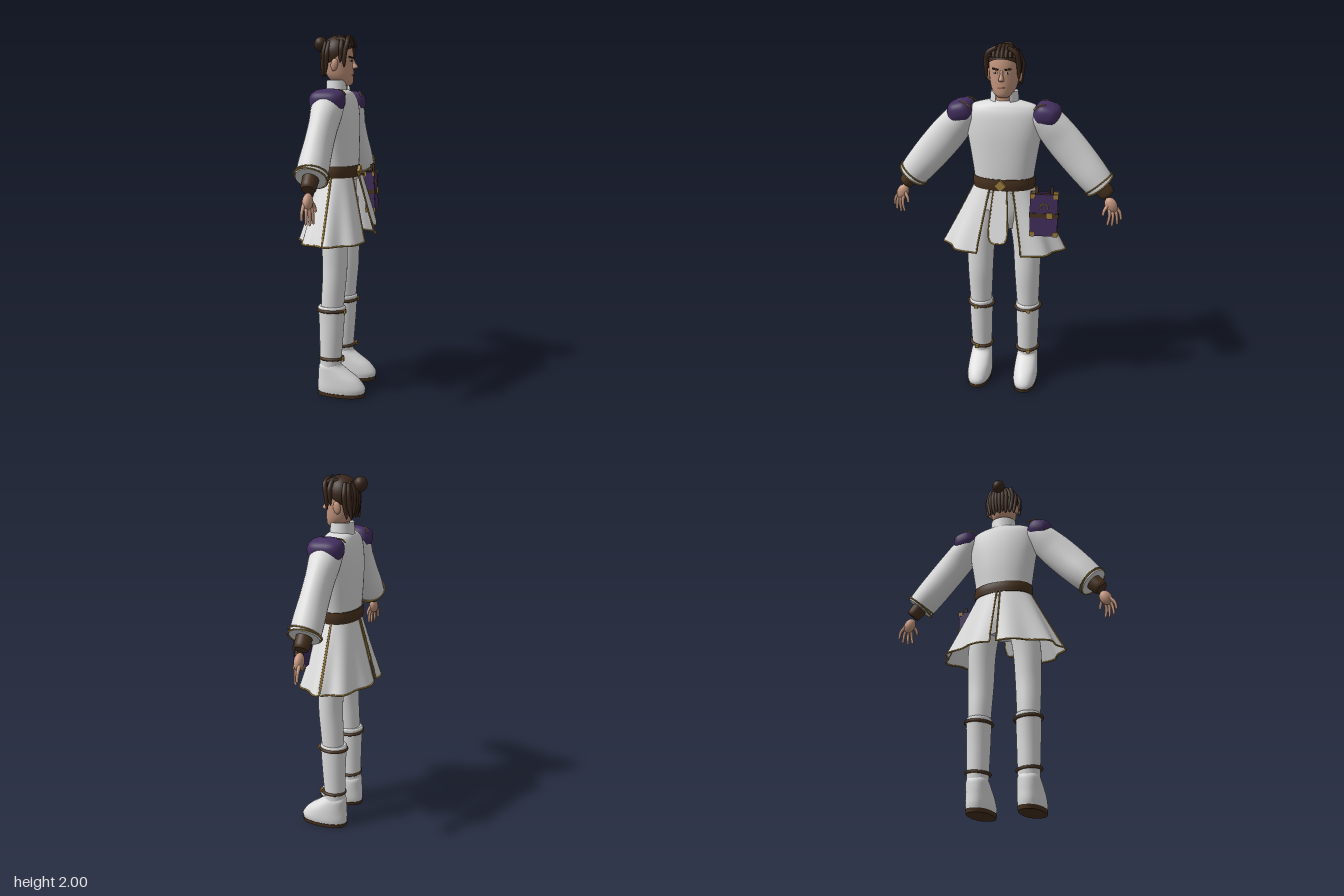
import * as THREE from 'three';

const mat = (name, color) => {
  const m = new THREE.MeshStandardMaterial({ color, side: THREE.DoubleSide });
  m.name = name;
  return m;
};
const cloth = mat('white cloth', 0xdcdcdc), skin = mat('skin', 0xc4967e), hair = mat('hair', 0x3a271b);
const leather = mat('leather', 0x48321f), gold = mat('gold', 0xa17f3c), purple = mat('purple', 0x432f60);
const lip = mat('lip', 0x9a6655), eyeWhite = mat('eye white', 0xe4ddd4), dark = mat('dark', 0x1d1512);
const V = (x, y, z) => new THREE.Vector3(x, y, z);
const lerp = THREE.MathUtils.lerp;

function add(parent, name, geo, material, pos, rot) {
  const m = new THREE.Mesh(geo, material);
  m.name = name;
  if (pos) m.position.set(...pos);
  if (rot) m.rotation.set(...rot);
  parent.add(m);
  return m;
}

// Smooth body of superellipse sections [y, cx, cz, rx, rz], bottom to top
function loft(sections, exp = 2, seg = 28, steps = 5) {
  const place = new THREE.CatmullRomCurve3(sections.map(s => V(s[0], s[1], s[2])), false, 'catmullrom', 0.5);
  const size = new THREE.CatmullRomCurve3(sections.map(s => V(s[3], s[4], 0)), false, 'catmullrom', 0.5);
  const n = (sections.length - 1) * steps, rings = [];
  for (let i = 0; i <= n; i++) rings.push([place.getPoint(i / n), size.getPoint(i / n)]);
  const shut = V(0, 0, 0);
  rings.unshift([rings[0][0], shut], rings[0]);
  rings.push(rings[rings.length - 1], [rings[rings.length - 1][0], shut]);
  const pos = [], idx = [];
  const pw = v => Math.sign(v) * Math.abs(v) ** (2 / exp);
  rings.forEach(([p, r], j) => {
    for (let i = 0; i < seg; i++) {
      const a = i / seg * Math.PI * 2;
      pos.push(p.y + r.x * pw(Math.cos(a)), p.x, p.z + r.y * pw(Math.sin(a)));
      if (j === rings.length - 1) continue;
      const k = (i + 1) % seg, b = j * seg, c = b + seg;
      idx.push(b + i, c + i, b + k, b + k, c + i, c + k);
    }
  });
  const g = new THREE.BufferGeometry();
  g.setAttribute('position', new THREE.Float32BufferAttribute(pos, 3));
  g.setIndex(idx);
  g.computeVertexNormals();
  return g;
}

// Tube through points whose radius follows a rule along its length
function strand(points, r, rule = () => 1, steps = 14, radial = 8) {
  const curve = new THREE.CatmullRomCurve3(points.map(p => V(...p)));
  const g = new THREE.TubeGeometry(curve, steps, r, radial);
  const p = g.attributes.position, v = V(0, 0, 0);
  for (let i = 0; i < p.count; i++) {
    const t = Math.floor(i / (radial + 1)) / steps, c = curve.getPointAt(t);
    v.fromBufferAttribute(p, i).sub(c).multiplyScalar(rule(t)).add(c);
    p.setXYZ(i, v.x, v.y, v.z);
  }
  return g;
}
const lockRule = t => 0.12 + 0.88 * Math.sqrt(Math.sin(Math.PI * (0.2 + 0.8 * t)));
const fingerRule = t => (t > 0.97 ? 0.05 : 1 - 0.35 * t);
const ball = (x, y, z) => new THREE.SphereGeometry(1, 24, 16).scale(x, y, z);
const box = (x, y, z) => new THREE.BoxGeometry(x, y, z);

// Point on the flared, pleated skirt
function skirtPoint(t, v) {
  const f = 1 + 0.045 * v * Math.sin(t * 9 + 0.6);
  return V(lerp(0.16, 0.338, v) * Math.cos(t) * f, 1.245 - 0.367 * v, lerp(0.1, 0.204, v) * Math.sin(t) * f);
}
function skirtPanel(parent, name, t0, t1) {
  const g = new THREE.PlaneGeometry(1, 1, 30, 10), p = g.attributes.position;
  for (let i = 0; i < p.count; i++) {
    const q = skirtPoint(lerp(t1, t0, p.getX(i) + 0.5), 0.5 - p.getY(i));
    p.setXYZ(i, q.x, q.y, q.z);
  }
  g.computeVertexNormals();
  add(parent, name, g, cloth);
  const path = [];
  for (let i = 0; i <= 8; i++) path.push(skirtPoint(t0, i / 8).toArray());
  for (let i = 1; i < 24; i++) path.push(skirtPoint(lerp(t0, t1, i / 24), 1).toArray());
  for (let i = 8; i >= 0; i--) path.push(skirtPoint(t1, i / 8).toArray());
  add(parent, name + 'Trim', strand(path, 0.005, undefined, 90, 6), gold);
}

function buildSide(mirror) {
  const s = new THREE.Group();
  s.name = mirror < 0 ? 'rightSide' : 'leftSide';
  s.scale.x = mirror;
  // Leg and boot
  add(s, 'leg', loft([[0.46, 0.14, -0.002, 0.06, 0.062], [0.58, 0.139, 0.005, 0.067, 0.065], [0.72, 0.137, 0.014, 0.073, 0.068],
    [0.9, 0.132, 0.01, 0.08, 0.073], [1.1, 0.1, 0, 0.085, 0.085]]), cloth);
  add(s, 'bootShaft', loft([[0.14, 0.14, -0.012, 0.056, 0.058], [0.22, 0.14, -0.01, 0.06, 0.062], [0.36, 0.14, -0.005, 0.065, 0.068],
    [0.47, 0.14, -0.004, 0.068, 0.074], [0.505, 0.14, -0.004, 0.07, 0.077], [0.515, 0.14, -0.004, 0.064, 0.07]]), cloth);
  add(s, 'foot', loft([[0.018, 0.14, 0.052, 0.066, 0.134], [0.05, 0.14, 0.052, 0.07, 0.136], [0.095, 0.14, 0.036, 0.068, 0.117],
    [0.135, 0.14, 0.009, 0.064, 0.088], [0.165, 0.14, -0.01, 0.06, 0.066], [0.185, 0.14, -0.011, 0.052, 0.056]], 2.3), cloth);
  add(s, 'sole', loft([[0, 0.14, 0.052, 0.066, 0.134], [0.022, 0.14, 0.052, 0.069, 0.138]], 2.3), leather);
  for (const [y, r] of [[0.487, 0.074], [0.212, 0.064]]) {
    const ring = new THREE.TorusGeometry(r, 0.009, 8, 32).rotateX(Math.PI / 2);
    add(s, 'bootStrap', ring, leather, [0.14, y, -0.005], [0, 0, 0.08]);
    add(s, 'bootBuckle', box(0.022, 0.02, 0.012), gold, [0.155, y, r + 0.002]);
  }
  // Sleeve, hung from the shoulder
  const arm = new THREE.Group();
  arm.name = 'arm';
  arm.position.set(0.2, 1.64, 0);
  arm.rotation.z = 0.709;
  s.add(arm);
  add(arm, 'sleeve', loft([[-0.507, 0, 0, 0.083, 0.079], [-0.42, 0, 0, 0.092, 0.079], [-0.3, 0, 0, 0.098, 0.073], [-0.18, 0, 0, 0.098, 0.074],
    [-0.08, 0, 0, 0.09, 0.084], [0, 0, 0, 0.075, 0.08], [0.045, 0, 0, 0.03, 0.04]]), cloth);
  for (const [y, r, tilt] of [[-0.502, 0.086, 0.06], [-0.488, 0.088, -0.08]])
    add(arm, 'cuffTrim', new THREE.TorusGeometry(r, 0.004, 6, 36).rotateX(Math.PI / 2), gold, [0, y, 0], [tilt, 0, 0]);
  add(arm, 'wristband', loft([[-0.575, 0, 0, 0.036, 0.034], [-0.555, 0, 0, 0.044, 0.04], [-0.5, 0, 0, 0.046, 0.042]]), leather);
  // Hand
  add(s, 'palm', ball(0.034, 0.046, 0.026), skin, [0.592, 1.148, 0.003], [0, 0, 0.45]);
  [[0.578, 1.036, 0.028], [0.603, 1.03, 0.018], [0.632, 1.038, 0.006], [0.65, 1.06, -0.01]].forEach(([x, y, z], i) =>
    add(s, 'finger', strand([[0.583 + i * 0.011, 1.138, 0.012 - i * 0.007], [0.588 + i * 0.018, 1.092 + i * 0.004, z], [x, y, z]], 0.0105, fingerRule), skin));
  add(s, 'thumb', strand([[0.575, 1.15, 0.015], [0.557, 1.12, 0.028], [0.552, 1.093, 0.032]], 0.011, fingerRule), skin);
  // Shoulder pad
  add(s, 'shoulderPad', loft([[-0.055, 0, 0, 0.066, 0.08], [-0.02, 0, 0, 0.074, 0.094], [0.02, 0, 0, 0.07, 0.092], [0.045, 0, 0, 0.052, 0.07],
    [0.058, 0, 0, 0.015, 0.02]], 2.8), purple, [0.235, 1.645, 0], [0, 0, -0.25]);
  for (const z of [-1, 1])
    add(s, 'padPiping', strand([[0.17, 1.672, z * 0.083], [0.195, 1.691, z * 0.074], [0.23, 1.698, z * 0.06]], 0.004), gold);
  // Skirt quarters
  skirtPanel(s, 'frontSkirt', 0.01, 1.17);
  skirtPanel(s, 'backSkirt', -1.51, -0.01);
  // Collar half, open at the throat
  const collar = new THREE.CylinderGeometry(0.073, 0.08, 0.075, 20, 1, true, 0.52, Math.PI - 0.52).scale(1, 1, 0.85);
  add(s, 'collar', collar, cloth, [0, 1.717, -0.005]);
  // Eye, brow and ear
  add(s, 'eyeWhite', box(0.022, 0.008, 0.006), eyeWhite, [0.032, 1.857, 0.076], [0, 0.38, 0]);
  add(s, 'iris', box(0.008, 0.008, 0.006), dark, [0.031, 1.857, 0.078], [0, 0.38, 0]);
  add(s, 'brow', box(0.034, 0.008, 0.008), hair, [0.034, 1.876, 0.076], [0, 0.4, 0.12]);
  add(s, 'ear', ball(0.012, 0.034, 0.02), skin, [0.083, 1.835, -0.004], [0.15, 0, 0]);
  // Side locks
  [[[0.03, 1.985, 0.06], [0.075, 1.955, 0.066], [0.086, 1.9, 0.056], [0.085, 1.82, 0.05]],
    [[0.05, 1.98, 0.03], [0.088, 1.93, 0.035], [0.09, 1.88, 0.032], [0.088, 1.845, 0.03]],
    [[0.06, 1.96, -0.04], [0.088, 1.9, -0.045], [0.086, 1.84, -0.05], [0.08, 1.775, -0.058]],
    [[0.06, 1.96, -0.06], [0.075, 1.9, -0.066], [0.072, 1.84, -0.072], [0.062, 1.77, -0.078]]]
    .forEach(p => add(s, 'sideLock', strand(p, 0.014, lockRule), hair));
  return s;
}

function buildBook() {
  const b = new THREE.Group();
  b.name = 'book';
  b.position.set(0.243, 1.12, 0.133);
  b.rotation.set(-0.04, 0.08, 0);
  for (const z of [-0.024, 0.024]) {
    add(b, 'cover', box(0.148, 0.235, 0.008), purple, [0, 0, z]);
    for (const x of [-1, 1]) for (const y of [-1, 1])
      add(b, 'coverCorner', box(0.026, 0.026, 0.012), gold, [x * 0.063, y * 0.107, z]);
  }
  add(b, 'pages', box(0.135, 0.22, 0.042), leather);
  add(b, 'spine', box(0.008, 0.235, 0.05), purple, [-0.072, 0, 0]);
  for (let i = -6; i <= 6; i++) add(b, 'pageRib', box(0.006, 0.005, 0.038), gold, [0.068, i * 0.016, 0]);
  add(b, 'strap', box(0.158, 0.024, 0.062), leather);
  add(b, 'strapClasp', box(0.03, 0.032, 0.01), gold, [0.03, 0, 0.033]);
  add(b, 'emblemArch', new THREE.TorusGeometry(0.02, 0.004, 6, 20, Math.PI * 1.3), gold, [0, 0.045, 0.029], [0, 0, -0.47]);
  for (const x of [-0.04, 0.04]) add(b, 'hanger', box(0.014, 0.07, 0.012), leather, [x, 0.125, 0.01]);
  return b;
}

export function createModel() {
  const root = new THREE.Group();
  root.name = 'robedFigure';
  const body = new THREE.Group();
  body.name = 'body';
  body.rotation.y = Math.PI / 2;
  root.add(body);
  // Tunic, hips and belt
  add(body, 'tunic', loft([[1.21, 0, 0, 0.16, 0.1], [1.3, 0, 0.002, 0.167, 0.105], [1.42, 0, 0, 0.185, 0.109], [1.54, 0, 0, 0.204, 0.107],
    [1.63, 0, 0, 0.205, 0.096], [1.675, 0, 0, 0.178, 0.08], [1.695, 0, 0, 0.12, 0.066], [1.705, 0, 0, 0.06, 0.05]], 2.2, 40), cloth);
  add(body, 'hips', loft([[0.99, 0, 0, 0.09, 0.07], [1.08, 0, 0, 0.14, 0.09], [1.23, 0, 0, 0.155, 0.095]]), cloth);
  add(body, 'belt', loft([[1.226, 0, 0, 0.17, 0.108], [1.258, 0, 0, 0.174, 0.112], [1.29, 0, 0, 0.171, 0.11]], 2.2, 40), leather);
  add(body, 'buckle', box(0.046, 0.046, 0.02), gold, [0, 1.258, 0.117], [0, 0, Math.PI / 4]);
  // Front flap with trim
  const flap = new THREE.Group();
  flap.name = 'frontFlap';
  flap.position.set(0, 1.232, 0.122);
  flap.rotation.x = -0.288;
  body.add(flap);
  const edge = [[-0.036, 0], [-0.046, -0.12], [-0.052, -0.24], [-0.045, -0.27], [-0.03, -0.287]];
  const outline = [...edge, ...edge.map(([x, y]) => [-x, y]).reverse()];
  const shape = new THREE.Shape(outline.map(p => new THREE.Vector2(...p)));
  add(flap, 'flapCloth', new THREE.ExtrudeGeometry(shape, { depth: 0.006, bevelEnabled: false }), cloth);
  add(flap, 'flapTrim', strand(outline.map(([x, y]) => [x, y, 0.003]), 0.005, undefined, 60, 6), gold);

  for (const m of [1, -1]) body.add(buildSide(m));
  body.add(buildBook());

  // Head
  add(body, 'neck', new THREE.CylinderGeometry(0.044, 0.048, 0.12, 24), skin, [0, 1.715, 0]);
  add(body, 'head', loft([[1.726, 0, 0.036, 0.028, 0.03], [1.742, 0, 0.026, 0.048, 0.053], [1.78, 0, 0.008, 0.069, 0.074],
    [1.84, 0, 0, 0.079, 0.081], [1.9, 0, -0.003, 0.081, 0.082], [1.95, 0, -0.006, 0.07, 0.072], [1.982, 0, -0.008, 0.035, 0.04]]), skin);
  add(body, 'nose', loft([[1.816, 0, 0.085, 0.014, 0.012], [1.826, 0, 0.088, 0.014, 0.021], [1.845, 0, 0.082, 0.009, 0.014],
    [1.872, 0, 0.076, 0.007, 0.008]], 2, 14), skin);
  add(body, 'mouth', box(0.038, 0.007, 0.008), lip, [0, 1.78, 0.08]);
  // Hair
  const cap = new THREE.SphereGeometry(1, 32, 20, 0, Math.PI * 2, 0, Math.PI * 0.6).rotateX(-0.6).scale(0.092, 0.098, 0.092);
  add(body, 'hairCap', cap, hair, [0, 1.9, -0.006]);
  add(body, 'hairBun', ball(0.037, 0.04, 0.037), hair, [0, 1.953, -0.105]);
  add(body, 'bunTie', new THREE.TorusGeometry(0.022, 0.008, 8, 20), hair, [0, 1.948, -0.08]);
  for (let i = -3; i <= 3; i++) {
    const x = i * 0.02, z = 0.088 * Math.sqrt(1 - (x / 0.1) ** 2);
    add(body, 'backLock', strand([[x * 0.6, 1.96, -z * 0.8], [x, 1.9, -z], [x, 1.84, -z], [x * 0.9, 1.775 + 0.012 * (i & 1), -z * 0.9]], 0.016, lockRule), hair);
    add(body, 'crownLock', strand([[x * 1.1, 1.935, z - 0.004], [x * 1.1, 1.965, z * 0.75], [x * 0.9, 1.99 - i * i * 0.002, 0.01],
      [x * 0.4, 1.965, -0.075]], 0.011, lockRule), hair);
  }
  return root;
}
